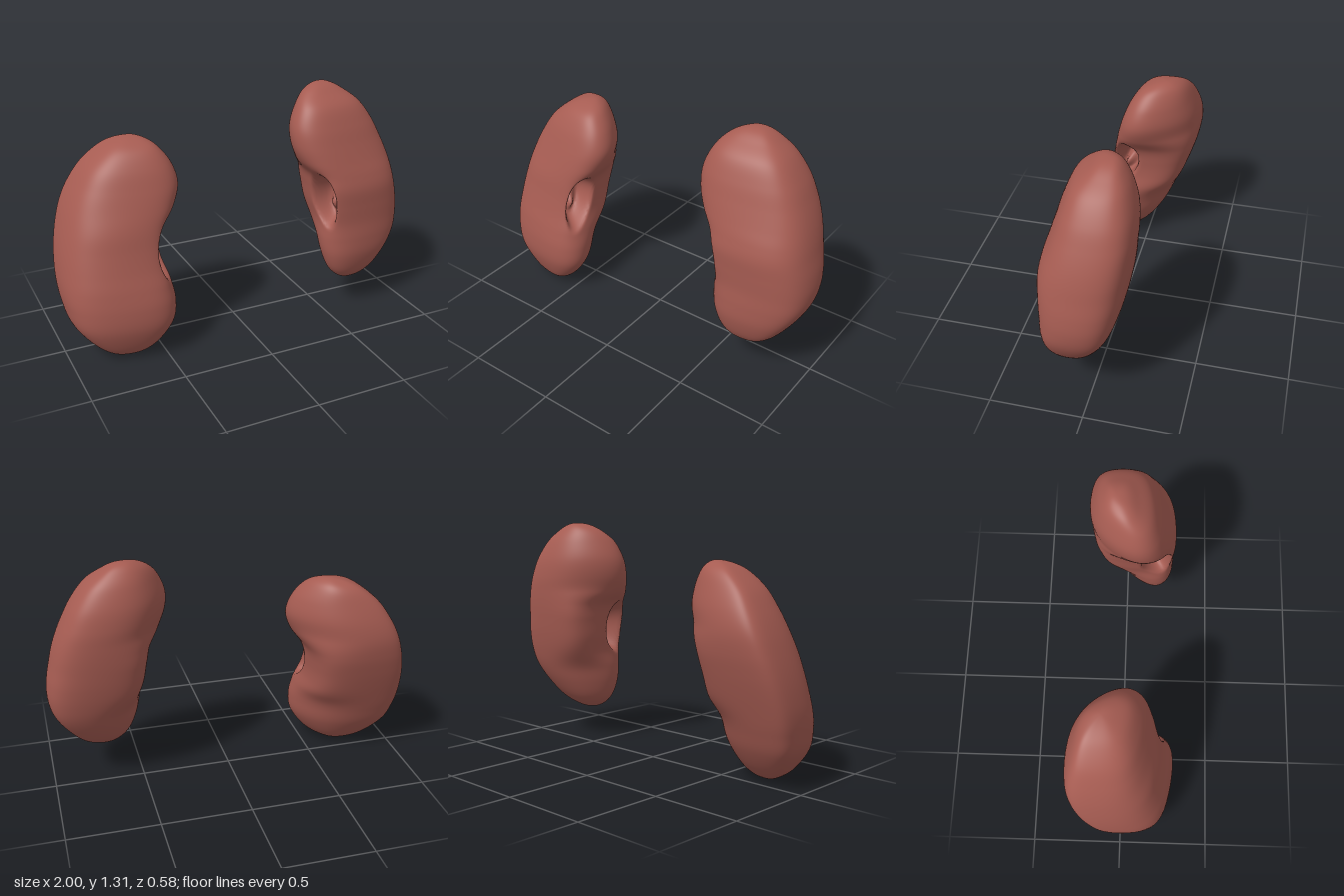
import * as THREE from 'three';

const flesh = new THREE.MeshStandardMaterial({ color: 0xa65c52 });
flesh.name = 'reddish brown flesh';

// Cross-sections from bottom to top: [y, outer x, inner x, back z, front z]
const rightSections = [
  [0, -0.7, -0.7, 0.14, 0.14],
  [0.02, -0.785, -0.61, 0.06, 0.205],
  [0.08, -0.872, -0.52, -0.012, 0.25],
  [0.19, -0.96, -0.442, -0.09, 0.288],
  [0.3, -0.99, -0.425, -0.14, 0.29],
  [0.4, -1.0, -0.438, -0.18, 0.27],
  [0.5, -0.995, -0.46, -0.217, 0.24],
  [0.6, -0.98, -0.46, -0.25, 0.215],
  [0.7, -0.955, -0.44, -0.277, 0.195],
  [0.8, -0.92, -0.372, -0.29, 0.17],
  [0.9, -0.87, -0.34, -0.28, 0.14],
  [1.0, -0.8, -0.365, -0.25, 0.1],
  [1.08, -0.705, -0.42, -0.213, 0.045],
  [1.12, -0.625, -0.475, -0.165, -0.025],
  [1.135, -0.54, -0.54, -0.1, -0.1],
];
const leftSections = [
  [0.17, 0.68, 0.68, 0.15, 0.15],
  [0.19, 0.76, 0.605, 0.085, 0.2],
  [0.25, 0.845, 0.54, 0.01, 0.24],
  [0.35, 0.925, 0.5, -0.06, 0.268],
  [0.45, 0.98, 0.485, -0.11, 0.272],
  [0.55, 1.0, 0.485, -0.145, 0.268],
  [0.65, 0.995, 0.465, -0.17, 0.272],
  [0.75, 0.975, 0.45, -0.188, 0.275],
  [0.83, 0.957, 0.43, -0.199, 0.26],
  [0.91, 0.932, 0.372, -0.206, 0.237],
  [1.0, 0.895, 0.337, -0.21, 0.21],
  [1.1, 0.845, 0.335, -0.2, 0.178],
  [1.2, 0.77, 0.375, -0.168, 0.13],
  [1.265, 0.685, 0.43, -0.13, 0.055],
  [1.3, 0.62, 0.495, -0.095, 0.0],
  [1.31, 0.56, 0.56, -0.055, -0.055],
];

// Squares off a sine or cosine while keeping its range
const box = (s, k) => s * (1 + k - k * s * s);
const lerp = THREE.MathUtils.lerp;

// Bean-shaped body lofted through the sections, with a pit (hilum) on its inner side
function beanGeometry(sections, { pitY, outerTilt, innerTilt, outerBox }) {
  const rings = 110, sides = 128;
  const inward = Math.sign(sections[5][2] - sections[5][1]);

  // Mirrored extra sections beyond both poles keep the ends round
  const swap = ([y, xo, xi, zb, zf]) => [y, xi, xo, zf, zb];
  const rows = [swap(sections[1]), ...sections, swap(sections.at(-2))];
  const curve = (pick) => new THREE.CatmullRomCurve3(
    rows.map((r) => new THREE.Vector3(...pick(r))), false, 'catmullrom', 0.5);
  const xCurve = curve((r) => [r[1], r[0], r[2]]);
  const zCurve = curve((r) => [r[3], 0, r[4]]);

  const positions = [], index = [];
  for (let i = 0; i <= rings; i++) {
    const t = (1 + (i / rings) * (rows.length - 3)) / (rows.length - 1);
    const p = xCurve.getPoint(t), q = zCurve.getPoint(t);
    const cx = (p.x + p.z) / 2, a = Math.abs(p.z - p.x) / 2;
    const cz = (q.x + q.z) / 2, b = Math.abs(q.z - q.x) / 2;
    if (i === 0 || i === rings) {
      positions.push(cx, p.y, cz);
      continue;
    }
    // The waist is notched on the inner side only, and blunter there
    const waist = Math.exp(-(((p.y - pitY) / 0.2) ** 4));
    for (let j = 0; j < sides; j++) {
      const angle = (j / sides) * Math.PI * 2 - Math.PI;
      const c = Math.cos(angle), inner = (1 + c) / 2;
      const tilt = lerp(outerTilt, innerTilt - 0.25 * waist, inner);
      const k = lerp(outerBox, 0.25 * waist, inner);
      const xs = box(c, k), zs = box(Math.sin(angle + tilt), k);

      // Pit with a steep rim and a small knob on its floor
      const u = (angle - 0.45) / 0.37, v = (p.y - pitY) / 0.135;
      const r2 = u * u + v * v;
      const knob = Math.exp(-((u * u) / 0.15 + ((v + 0.3) ** 2) / 0.12));
      const depth = 0.13 * Math.exp(-(r2 ** 3)) * (1 - 0.4 * knob);
      positions.push(
        cx + inward * (a * xs + 0.045 * waist * (1 - xs * xs) - depth),
        p.y,
        cz + b * zs - depth * 0.45);
    }
  }

  // Faces, turned outward on either side of the body
  const face = (m, n, o) => (inward > 0 ? index.push(m, n, o) : index.push(m, o, n));
  const top = positions.length / 3 - 1;
  const at = (i, j) => 1 + (i - 1) * sides + (j % sides);
  for (let j = 0; j < sides; j++) {
    face(0, at(1, j), at(1, j + 1));
    for (let i = 1; i < rings - 1; i++) {
      face(at(i, j), at(i + 1, j), at(i, j + 1));
      face(at(i + 1, j), at(i + 1, j + 1), at(i, j + 1));
    }
    face(at(rings - 1, j), top, at(rings - 1, j + 1));
  }

  const geometry = new THREE.BufferGeometry();
  geometry.setAttribute('position', new THREE.Float32BufferAttribute(positions, 3));
  geometry.setIndex(index);
  geometry.computeVertexNormals();
  return geometry;
}

export function createModel() {
  const model = new THREE.Group();
  model.name = 'kidneys';
  for (const [name, sections, shape] of [
    ['rightKidney', rightSections, { pitY: 0.58, outerTilt: 0.28, innerTilt: 0.46, outerBox: 0.3 }],
    ['leftKidney', leftSections, { pitY: 0.69, outerTilt: 0.06, innerTilt: 0.37, outerBox: 0.22 }],
  ]) {
    const kidney = new THREE.Mesh(beanGeometry(sections, shape), flesh);
    kidney.name = name;
    model.add(kidney);
  }
  return model;
}
